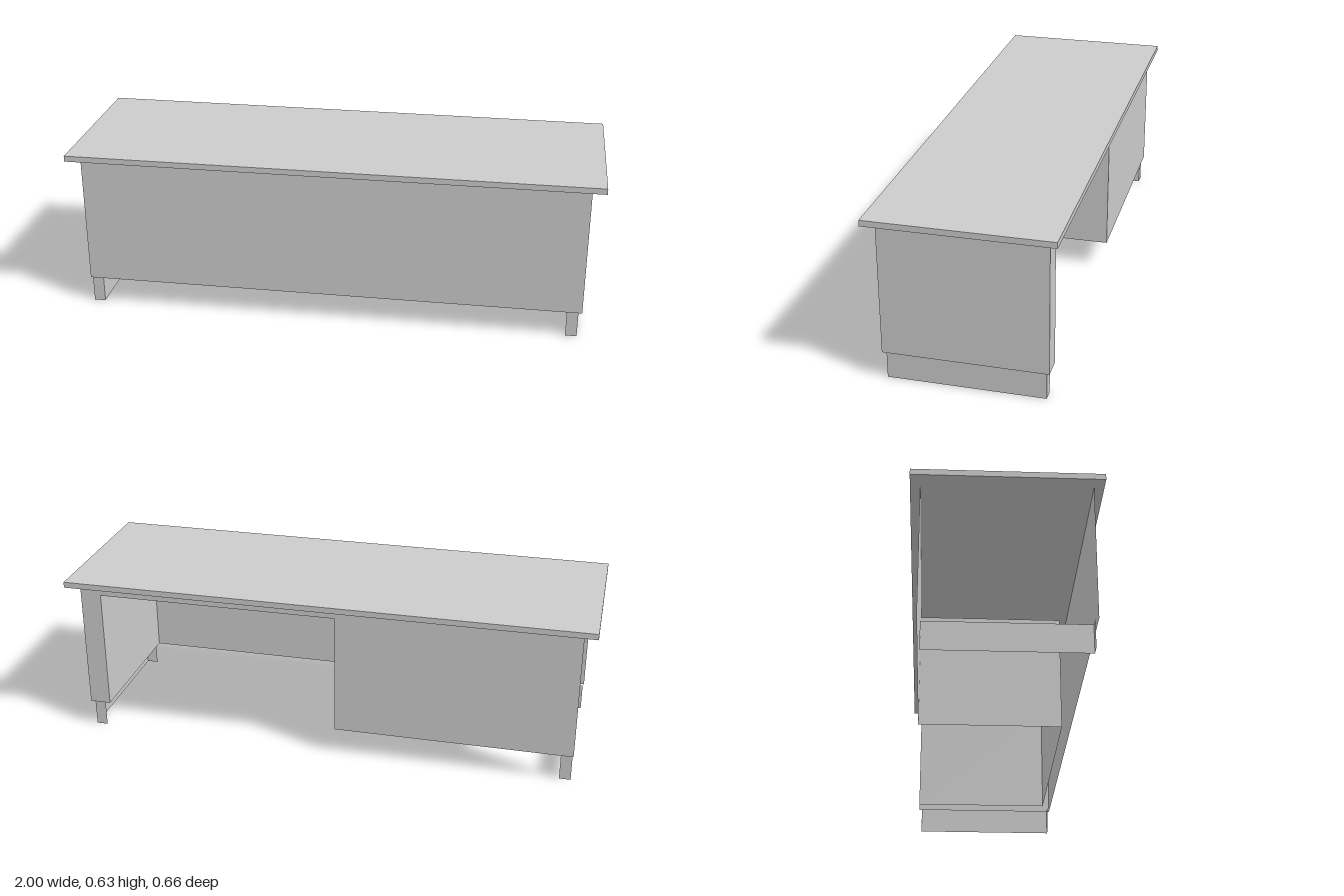
import * as THREE from 'three';

const sheet = new THREE.MeshStandardMaterial({ color: 0xcccccc, side: THREE.DoubleSide, flatShading: true });
const solid = new THREE.MeshStandardMaterial({ color: 0xcccccc, flatShading: true });

// Main dimensions
const X = 0.95, Z = 0.295, BOTTOM = 0.105, TOP = 0.605, TABLE_TOP = 0.627;
const KNEE = { x0: -0.046, x1: 0.87, back: 0.26, top: 0.57 };
const FOOT_Z = 0.283;

function add(parent, name, geometry, material = sheet) {
  const mesh = new THREE.Mesh(geometry, material);
  mesh.name = name;
  parent.add(mesh);
  return mesh;
}

// Thin upright sheet facing along z
function sheetZ(parent, name, x0, x1, y0, y1, z, facing) {
  const m = add(parent, name, new THREE.PlaneGeometry(x1 - x0, y1 - y0));
  m.position.set((x0 + x1) / 2, (y0 + y1) / 2, z);
  if (facing < 0) m.rotation.y = Math.PI;
}

// Thin upright sheet facing along x
function sheetX(parent, name, x, y0, y1, z0, z1, facing) {
  const m = add(parent, name, new THREE.PlaneGeometry(z1 - z0, y1 - y0));
  m.position.set(x, (y0 + y1) / 2, (z0 + z1) / 2);
  m.rotation.y = facing * Math.PI / 2;
}

export function createModel() {
  const desk = new THREE.Group();
  desk.name = 'desk';

  // Table top
  const top = add(desk, 'tableTop', new THREE.BoxGeometry(2, TABLE_TOP - TOP, 0.66), solid);
  top.position.y = (TOP + TABLE_TOP) / 2;

  // Outer shell, open below and at the -x end
  const body = new THREE.Group();
  body.name = 'body';
  desk.add(body);
  sheetZ(body, 'frontPanel', -X, X, BOTTOM, TOP, Z, 1);
  sheetX(body, 'sidePanel', X, BOTTOM, TOP, -Z, Z, 1);

  // Back panel with the kneehole cut out
  const outline = [
    [-X, BOTTOM], [KNEE.x0, BOTTOM], [KNEE.x0, KNEE.top], [KNEE.x1, KNEE.top],
    [KNEE.x1, BOTTOM], [X, BOTTOM], [X, TOP], [-X, TOP],
  ].map(([x, y]) => new THREE.Vector2(-x, y));
  const back = add(body, 'backPanel', new THREE.ShapeGeometry(new THREE.Shape(outline)));
  back.rotation.y = Math.PI;
  back.position.z = -Z;

  // Kneehole lining
  const knee = new THREE.Group();
  knee.name = 'kneehole';
  desk.add(knee);
  sheetX(knee, 'kneeholeRightWall', KNEE.x0, BOTTOM, KNEE.top, -Z, KNEE.back, 1);
  sheetX(knee, 'kneeholeLeftWall', KNEE.x1, BOTTOM, KNEE.top, -Z, KNEE.back, -1);
  sheetZ(knee, 'kneeholeBack', KNEE.x0, KNEE.x1, BOTTOM, KNEE.top, KNEE.back, -1);
  const ceiling = add(knee, 'kneeholeCeiling', new THREE.PlaneGeometry(KNEE.x1 - KNEE.x0, KNEE.back + Z));
  ceiling.rotation.x = Math.PI / 2;
  ceiling.position.set((KNEE.x0 + KNEE.x1) / 2, KNEE.top, (KNEE.back - Z) / 2);

  // Channel-shaped feet: a long board with a flange at each end
  for (const [name, x] of [['leftFoot', 0.937], ['rightFoot', -0.903]]) {
    const foot = new THREE.Group();
    foot.name = name;
    desk.add(foot);
    sheetX(foot, 'footBoard', x, 0, BOTTOM, -FOOT_Z, FOOT_Z, 1);
    for (const s of [1, -1]) sheetZ(foot, 'footFlange', x - 0.043, x, 0, BOTTOM, s * FOOT_Z, s);
  }

  return desk;
}
